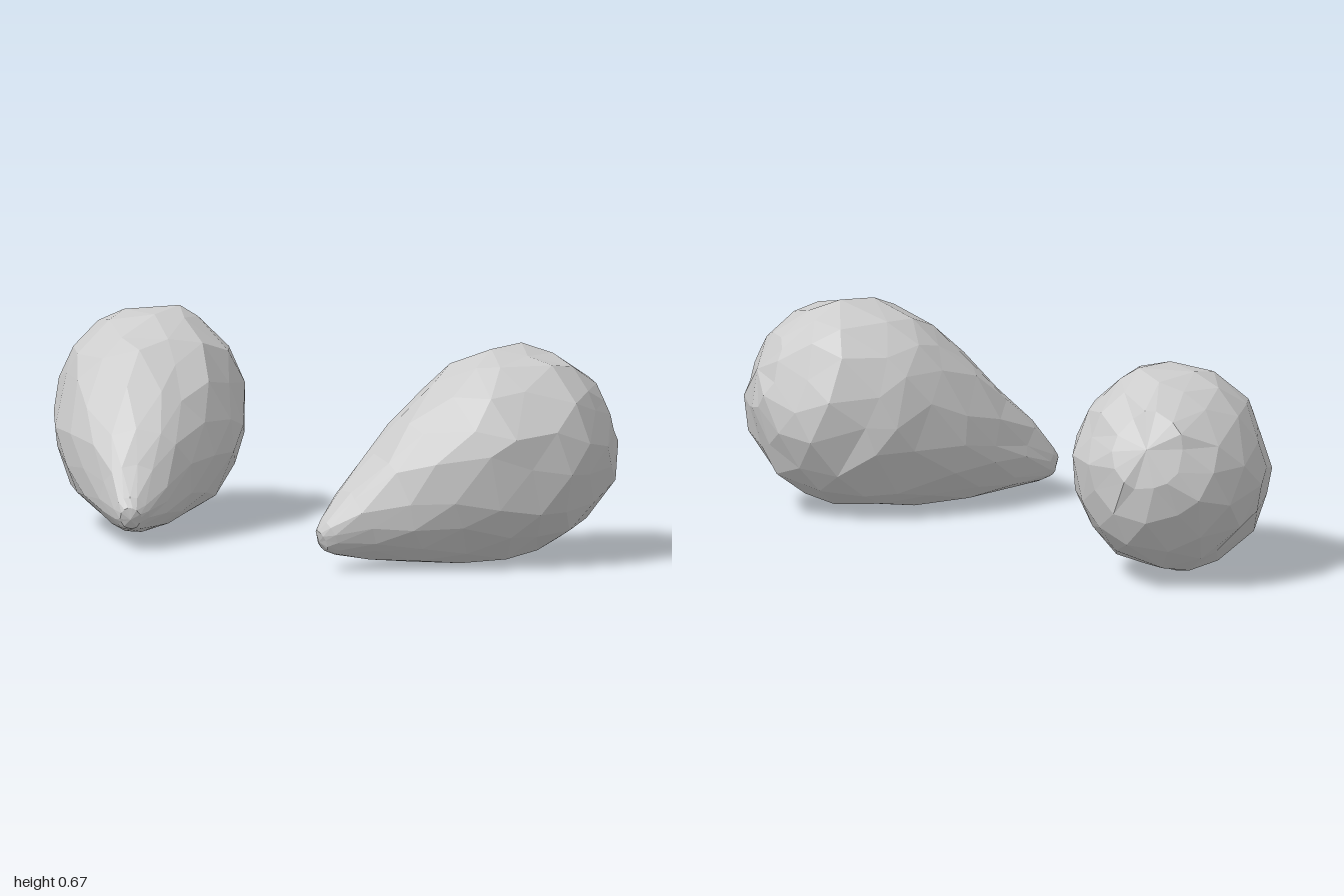
import * as THREE from 'three';

// profile of a teardrop, [radius, distance along axis] from blunt end to tip
const PROFILE = [[0, -0.322], [0.125, -0.3], [0.225, -0.235], [0.292, -0.145], [0.324, -0.03], [0.325, 0.07],
  [0.3, 0.185], [0.25, 0.32], [0.188, 0.45], [0.118, 0.575], [0.06, 0.672], [0.036, 0.702], [0, 0.712]];
const SIDES = 14;
const FLATTEN = 0.925; // the drop is a little narrower than tall

// bulb centre and lean of the left drop; the right one mirrors them
const CENTRE = [0.7, 0.345, -0.14];
const LEAN = [-0.315, -0.235, 0.535];

function seeded(seed) {
  return () => {
    seed = (seed * 16807) % 2147483647;
    return seed / 2147483647;
  };
}

// roughly cut teardrop: a staggered lathe with uneven corners and a few dents
function dropGeometry(side, seed) {
  const random = seeded(seed);
  const rings = PROFILE.length;
  const jitter = Array.from({ length: SIDES * rings }, () => [random() - 0.5, random() - 0.5, random()]);
  const geo = new THREE.LatheGeometry(PROFILE.map(([r, y]) => new THREE.Vector2(r, y)), SIDES);
  const pos = geo.attributes.position;
  for (let k = 0; k < pos.count; k++) {
    const ring = k % rings;
    const i = Math.floor(k / rings) % SIDES;
    const [turn, slide, dent] = jitter[i * rings + ring];
    const [r, y] = PROFILE[ring];
    const angle = ((i + ring / 2 + turn * 0.5) / SIDES) * Math.PI * 2;
    const radius = r * (1.015 - 0.075 * dent ** 4);
    pos.setXYZ(k, FLATTEN * radius * Math.sin(angle), y + slide * r * 0.16, radius * Math.cos(angle));
  }

  // lean the axis from the bulb towards the low inner tip, keeping the narrow way level
  const axis = new THREE.Vector3(LEAN[0] * side, LEAN[1], LEAN[2]).normalize();
  const across = new THREE.Vector3(0, 1, 0).cross(axis).normalize();
  const over = across.clone().cross(axis);
  geo.applyMatrix4(new THREE.Matrix4().makeBasis(across, axis, over));

  // place the bulb and rest it on the ground
  geo.computeBoundingBox();
  geo.translate(CENTRE[0] * side, Math.max(CENTRE[1], -geo.boundingBox.min.y), CENTRE[2]);
  geo.computeVertexNormals();
  return geo;
}

export function createModel() {
  const group = new THREE.Group();
  const material = new THREE.MeshStandardMaterial({ color: 0xcccccc, flatShading: true });
  for (const [name, side, seed] of [['leftTeardrop', 1, 4711], ['rightTeardrop', -1, 90210]]) {
    const drop = new THREE.Mesh(dropGeometry(side, seed), material);
    drop.name = name;
    group.add(drop);
  }
  return group;
}
